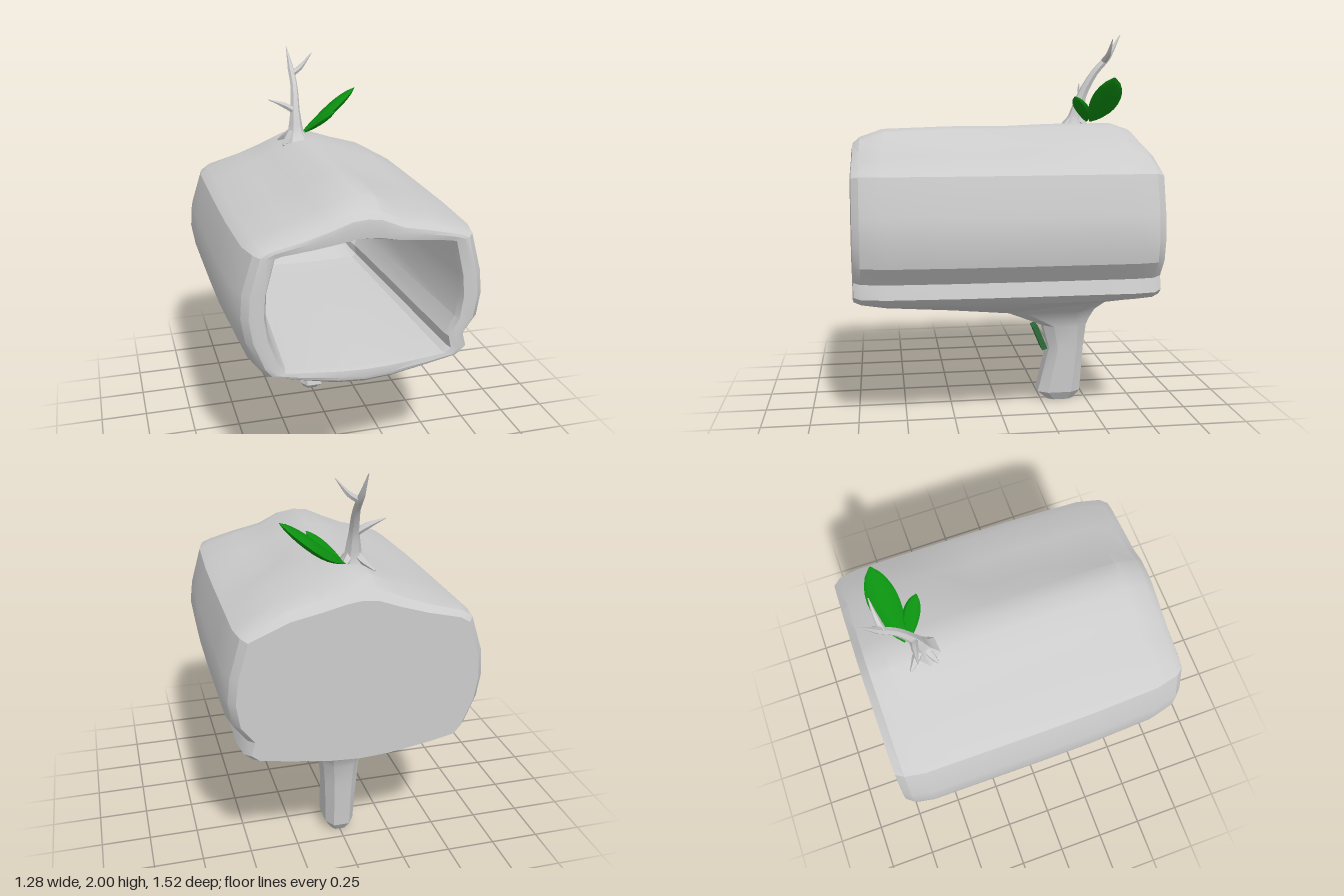
import * as THREE from 'three';
import { toCreasedNormals } from 'three/addons/utils/BufferGeometryUtils.js';

const V = (x, y, z) => new THREE.Vector3(x, y, z);
const wood = new THREE.MeshStandardMaterial({ color: 0xcccccc });
const leafGreen = new THREE.MeshStandardMaterial({ color: 0x0b9010 });
const darkGreen = new THREE.MeshStandardMaterial({ color: 0x2e6b3a });

// Skin a row of rings (each counter-clockwise about the direction of travel), closing both ends.
function loft(rings, crease = 0.45) {
  const n = rings[0].length, pos = [], idx = [];
  const add = (p) => pos.push(p.x, p.y, p.z);
  rings.forEach((r) => r.forEach(add));
  for (let i = 0; i < rings.length - 1; i++) {
    for (let j = 0; j < n; j++) {
      const a = i * n + j, b = i * n + (j + 1) % n;
      idx.push(a, b, b + n, a, b + n, a + n);
    }
  }
  [0, rings.length - 1].forEach((i, end) => {
    const c = pos.length / 3;
    add(rings[i].reduce((s, p) => s.add(p), V(0, 0, 0)).divideScalar(n));
    for (let j = 0; j < n; j++) {
      const a = i * n + j, b = i * n + (j + 1) % n;
      if (end) idx.push(c, a, b); else idx.push(c, b, a);
    }
  });
  const g = new THREE.BufferGeometry();
  g.setAttribute('position', new THREE.Float32BufferAttribute(pos, 3));
  g.setIndex(idx);
  return toCreasedNormals(g, crease);
}

function mesh(name, geometry, material) {
  const m = new THREE.Mesh(geometry, material);
  m.name = name;
  return m;
}

// Round tapered stem along a smooth curve.
function stem(points, radii, sides = 6) {
  const curve = new THREE.CatmullRomCurve3(points.map((p) => V(...p)));
  const steps = (points.length - 1) * 3;
  const { normals, binormals } = curve.computeFrenetFrames(steps);
  const rings = [];
  for (let i = 0; i <= steps; i++) {
    const t = i / steps, k = Math.min(Math.floor(i / 3), radii.length - 2);
    const r = THREE.MathUtils.lerp(radii[k], radii[k + 1], i / 3 - k);
    const c = curve.getPoint(t);
    rings.push(Array.from({ length: sides }, (_, j) => {
      const a = (j / sides) * Math.PI * 2;
      return c.clone().addScaledVector(normals[i], r * Math.cos(a)).addScaledVector(binormals[i], r * Math.sin(a));
    }));
  }
  return loft(rings, 0.7);
}

// Flattened leaf: an ellipse swept along a curve, widest past the middle.
function leaf(points, side, halfWidth, halfThick) {
  const curve = new THREE.CatmullRomCurve3(points.map((p) => V(...p)));
  const rings = [];
  for (let i = 0; i <= 10; i++) {
    const t = i / 10;
    const s = Math.max(0.06, Math.pow(Math.sin(Math.PI * Math.pow(t, 1.15)), 0.65));
    const c = curve.getPoint(t), tan = curve.getTangent(t);
    const u = V(...side).addScaledVector(tan, -tan.dot(V(...side))).normalize();
    const n = tan.clone().cross(u);
    rings.push(Array.from({ length: 8 }, (_, j) => {
      const a = (j / 8) * Math.PI * 2;
      return c.clone().addScaledVector(u, halfWidth * s * Math.cos(a)).addScaledVector(n, halfThick * s * Math.sin(a));
    }));
  }
  return loft(rings, 0.6);
}

// Log outline, counter-clockwise from the left side.
const OUTLINE = [
  [0.64, 1], [0.625, 1.12], [0.57, 1.31], [0.52, 1.34], [0.36, 1.43], [0.2, 1.475], [0.08, 1.515],
  [0, 1.53], [-0.08, 1.52], [-0.2, 1.46], [-0.34, 1.4], [-0.52, 1.34], [-0.57, 1.3], [-0.63, 1.12],
  [-0.64, 1], [-0.62, 0.88], [-0.56, 0.74], [-0.52, 0.69], [-0.38, 0.635], [-0.15, 0.57], [0, 0.555],
  [0.15, 0.57], [0.38, 0.63], [0.53, 0.68], [0.57, 0.72], [0.55, 0.79], [0.62, 0.88],
];

// One section: width scale, wall height scale, then bulge scales of the roof and the belly.
function section([z, sx, k, roof, belly]) {
  return OUTLINE.map(([x, y]) => {
    const groove = y > 1.41 && x > 0.1 && z > -0.2 ? 0.035 : 0;
    const d = y - groove - 1, h = Math.abs(d);
    const bulge = Math.max(h - 0.3, 0) * (d > 0 ? roof : belly);
    return V(x * sx, 1 + Math.sign(d) * (Math.min(h, 0.3) * k + bulge), z);
  });
}

// Hollow log: back face, outer skin, front rim, then the cavity.
function hollowLog() {
  return loft([
    [-0.76, 0.92, 0.97, 0.68, 0.5], [-0.72, 0.97, 1, 0.85, 0.6], [-0.62, 1, 1, 1, 0.8],
    [-0.4, 1, 1, 1, 1.05], [-0.27, 1, 1, 0.99, 1.15], [-0.05, 1, 1, 0.95, 1.3], [0.25, 0.995, 1, 0.95, 1.1],
    [0.6, 0.97, 1, 0.9, 0.9], [0.72, 0.92, 1, 0.72, 0.7], [0.755, 0.87, 0.98, 0.6, 0.55],
    [0.76, 0.83, 0.97, 0.48, 0.45], [0.755, 0.76, 0.95, 0.25, 0.25],
    [0.72, 0.74, 0.94, 0.2, 0.2], [-0.3, 0.64, 0.91, 0.08, 0.08], [-0.5, 0.59, 0.84, 0.05, 0.05],
    [-0.62, 0.4, 0.42, 0, 0],
  ].map(section));
}

// Grip: chamfered sections [y, front z, back z, half width] flaring into the log.
function grip() {
  const c = 0.55;
  const ring = [[-c, 1], [c, 1], [1, c], [1, -c], [c, -1], [-c, -1], [-1, -c], [-1, c]];
  return loft([
    [0, -0.29, -0.43, 0.045], [0.05, -0.23, -0.465, 0.075], [0.3, -0.29, -0.48, 0.085],
    [0.43, -0.255, -0.495, 0.095], [0.47, -0.16, -0.51, 0.11], [0.52, -0.04, -0.535, 0.14],
    [0.58, 0.02, -0.6, 0.22], [0.63, 0.05, -0.66, 0.28],
  ].map(([y, z0, z1, hx]) => ring.map(([x, z]) => V(x * hx, y, (z0 + z1) / 2 + z * (z0 - z1) / 2))));
}

export function createModel() {
  const group = new THREE.Group();
  group.name = 'hollowLogBlaster';
  group.add(mesh('hollowLog', hollowLog(), wood), mesh('grip', grip(), wood));

  // Trigger
  const trigger = mesh('trigger', new THREE.BoxGeometry(0.09, 0.145, 0.03), darkGreen);
  trigger.position.set(0, 0.357, -0.24);
  trigger.rotation.x = 0.4;
  group.add(trigger);

  // Twig with two side shoots and small roots
  const twig = new THREE.Group();
  twig.name = 'twig';
  twig.add(
    mesh('twigStem', stem([[-0.045, 1.49, -0.43], [-0.045, 1.56, -0.445], [-0.04, 1.68, -0.475],
      [-0.03, 1.8, -0.54], [-0.03, 1.88, -0.61], [-0.04, 2, -0.68]], [0.09, 0.045, 0.026, 0.02, 0.018, 0.002]), wood),
    mesh('rightShoot', stem([[-0.04, 1.67, -0.47], [-0.1, 1.705, -0.48], [-0.19, 1.74, -0.49]], [0.02, 0.017, 0.002]), wood),
    mesh('leftShoot', stem([[-0.03, 1.86, -0.59], [0.02, 1.89, -0.6], [0.09, 1.97, -0.605]], [0.018, 0.015, 0.002]), wood),
  );
  [[-0.13, -0.53], [-0.13, -0.39], [0.01, -0.38], [0.03, -0.5]].forEach(([x, z]) => {
    twig.add(mesh('root', stem([[-0.045, 1.58, -0.445], [(x - 0.045) / 2, 1.535, (z - 0.445) / 2], [x, 1.5, z]],
      [0.025, 0.022, 0.006], 5), wood));
  });
  group.add(twig);

  // Leaves
  group.add(
    mesh('largeLeaf', leaf([[0.01, 1.54, -0.51], [0.12, 1.605, -0.535], [0.23, 1.69, -0.55], [0.33, 1.77, -0.555]],
      [0, 0.12, 1], 0.075, 0.026), leafGreen),
    mesh('smallLeaf', leaf([[0.015, 1.54, -0.49], [0.1, 1.61, -0.445], [0.17, 1.675, -0.39]],
      [-0.5, 0, 0.8], 0.042, 0.018), leafGreen),
  );
  return group;
}
